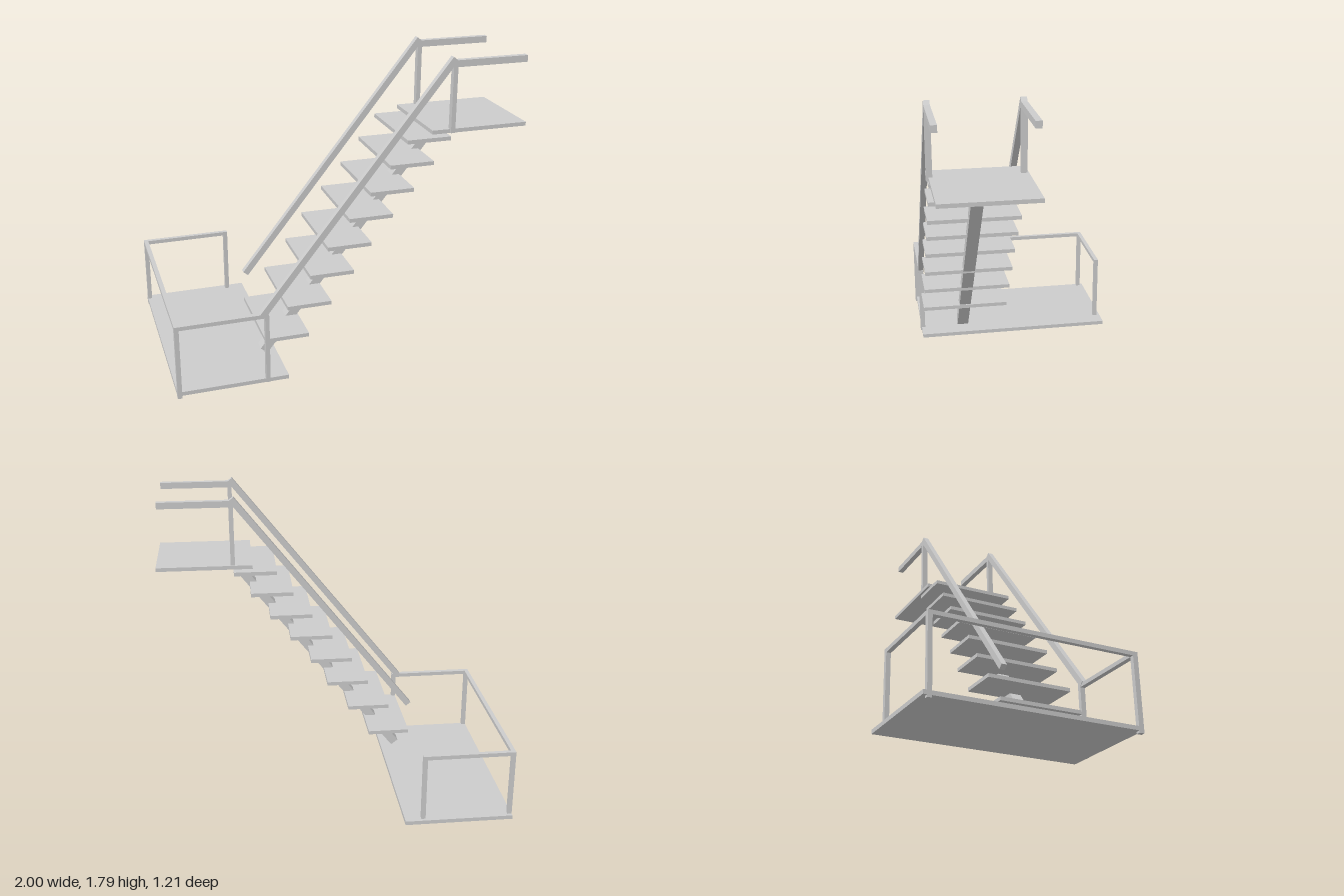
import * as THREE from 'three';

const material = new THREE.MeshStandardMaterial({ color: 0xcccccc });

export function createModel() {
  const group = new THREE.Group();
  group.name = 'staircase';

  // Axis-aligned box given by its limits
  function box(name, x0, x1, y0, y1, z0, z1) {
    const mesh = new THREE.Mesh(new THREE.BoxGeometry(x1 - x0, y1 - y0, z1 - z0), material);
    mesh.position.set((x0 + x1) / 2, (y0 + y1) / 2, (z0 + z1) / 2);
    mesh.name = name;
    group.add(mesh);
  }

  // Sloped beam between two points in the xy plane
  function beam(name, xa, ya, xb, yb, thickness, z0, z1) {
    const length = Math.hypot(xb - xa, yb - ya);
    const mesh = new THREE.Mesh(new THREE.BoxGeometry(length, thickness, z1 - z0), material);
    mesh.position.set((xa + xb) / 2, (ya + yb) / 2, (z0 + z1) / 2);
    mesh.rotation.z = Math.atan2(yb - ya, xb - xa);
    mesh.name = name;
    group.add(mesh);
  }

  // Landings
  box('lowerLanding', -1, -0.37, 0.012, 0.035, -0.605, 0.595);
  box('upperLanding', 0.445, 1, 1.373, 1.395, 0.066, 0.592);

  // Lower railing: posts and top rails
  box('lowerPostFrontRight', -1, -0.975, 0, 0.42, 0.574, 0.603);
  box('lowerPostBackRight', -1, -0.975, 0, 0.42, -0.585, -0.56);
  box('lowerPostFrontLeft', -0.502, -0.478, 0.015, 0.43, 0.574, 0.603);
  box('lowerPostBackLeft', -0.49, -0.465, 0.02, 0.42, -0.585, -0.56);
  box('lowerRailFront', -1, -0.48, 0.417, 0.44, 0.574, 0.603);
  box('lowerRailSide', -1, -0.975, 0.417, 0.44, -0.585, 0.603);
  box('lowerRailBack', -1, -0.465, 0.417, 0.44, -0.585, -0.56);

  // Treads on one central stringer
  [[-0.5, 0.27], [-0.37, 0.45], [-0.24, 0.62], [-0.14, 0.775],
    [-0.018, 0.928], [0.1, 1.067], [0.21, 1.21], [0.305, 1.342]].forEach(([x, y], i) => {
    box(`tread${i + 1}`, x, x + 0.25, y - 0.011, y + 0.011, 0.066, 0.592);
  });
  beam('stringer', -0.455, 0.075, 0.564, 1.361, 0.052, 0.294, 0.364);

  // Sloped handrails, with a post and a level rail at the top
  for (const [side, z0, z1, xa, ya] of [
    ['front', 0.572, 0.605, -0.514, 0.432],
    ['back', 0.074, 0.108, -0.495, 0.455],
  ]) {
    beam(`${side}Handrail`, xa, ya, 0.557, 1.783, 0.036, z0, z1);
    box(`${side}UpperPost`, 0.546, 0.571, 1.375, 1.77, z0, z1);
    box(`${side}UpperRail`, 0.55, 0.975, 1.737, 1.774, z0, z1);
  }
  return group;
}
